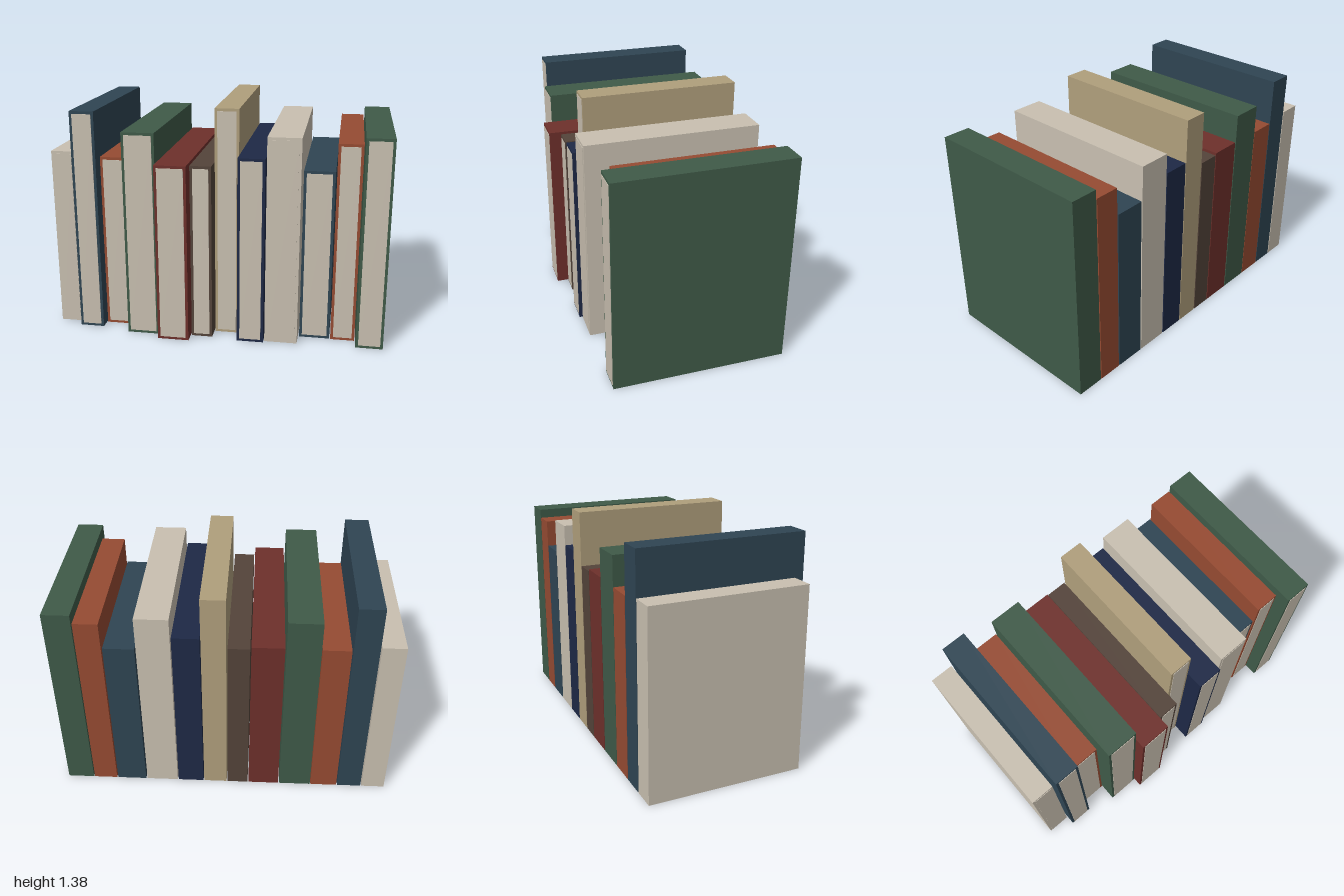
import * as THREE from 'three';

const paint = (name, color) => {
  const m = new THREE.MeshStandardMaterial({ color });
  m.name = name;
  return m;
};

export function createModel() {
  const colors = {
    cream: paint('cream', 0xc9c0b1),
    slate: paint('slate blue', 0x2f4553),
    rust: paint('rust', 0x964b32),
    green: paint('forest green', 0x3f5a48),
    maroon: paint('maroon', 0x6e302b),
    brown: paint('brown', 0x54443a),
    tan: paint('tan', 0xb09f7c),
    navy: paint('navy', 0x1e2946),
  };

  // Each book: cover colour, left x, right x, height, front z
  const books = [
    ['cream', -1.0, -0.861, 1.097, 0.385],
    ['slate', -0.854, -0.708, 1.35, 0.442],
    ['rust', -0.702, -0.54, 1.07, 0.378],
    ['green', -0.536, -0.342, 1.246, 0.488],
    ['maroon', -0.335, -0.148, 1.075, 0.544],
    ['brown', -0.142, -0.016, 1.062, 0.474],
    ['tan', -0.009, 0.133, 1.382, 0.395],
    ['navy', 0.138, 0.296, 1.123, 0.498],
    ['cream', 0.302, 0.496, 1.245, 0.48],
    ['slate', 0.504, 0.684, 1.038, 0.385],
    ['rust', 0.691, 0.834, 1.202, 0.39],
    ['green', 0.84, 1.0, 1.256, 0.473],
  ];
  const back = -0.548, margin = 0.016, proud = 0.003;

  const row = new THREE.Group();
  row.name = 'bookRow';
  books.forEach(([color, x0, x1, height, front], i) => {
    const book = new THREE.Group();
    book.name = `book${i + 1}`;
    book.position.set((x0 + x1) / 2, height / 2, 0);
    const width = x1 - x0;

    // Cover block, spine at the back
    const cover = new THREE.Mesh(new THREE.BoxGeometry(width, height, front - back), colors[color]);
    cover.name = 'cover';
    cover.position.z = (front + back) / 2;

    // Page edges, standing slightly proud of the front
    const pages = new THREE.Mesh(
      new THREE.BoxGeometry(width - 2 * margin, height - 2 * margin, 2 * proud), colors.cream);
    pages.name = 'pages';
    pages.position.z = front;

    book.add(cover, pages);
    row.add(book);
  });
  return row;
}
